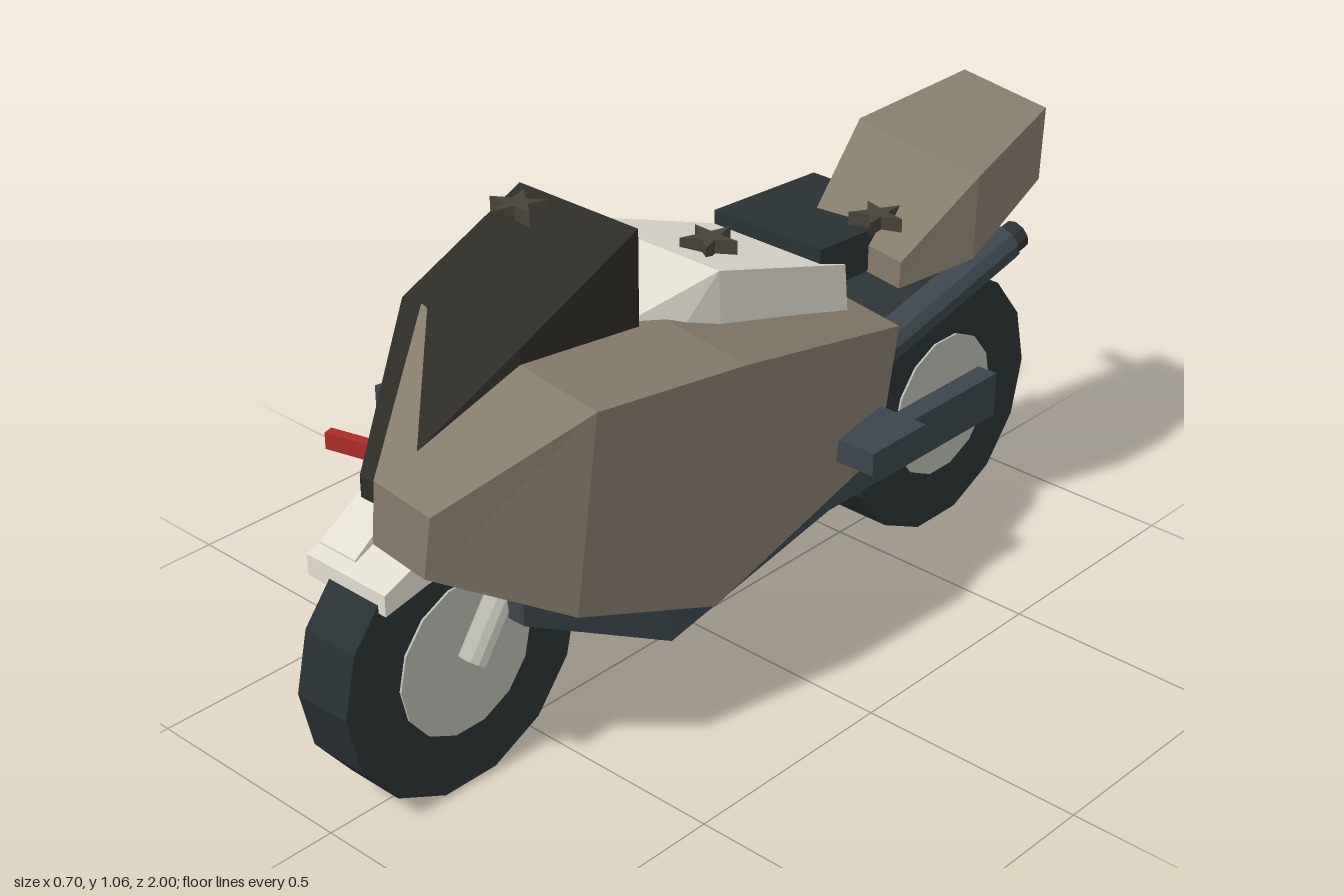
import * as THREE from 'three';

const mat = (color) => new THREE.MeshStandardMaterial({ color, flatShading: true });
const M = {
  tan: mat(0x857b6b), cream: mat(0xe0dccf), slate: mat(0x3b454b), dark: mat(0x2a3233),
  rim: mat(0xb8b8b0), glass: mat(0x2d2c27), red: mat(0xab2c24), star: mat(0x47433a),
};
const CX = -0.015; // middle plane of the frame parts

function add(parent, name, geometry, material, x = 0, y = 0, z = 0) {
  const mesh = new THREE.Mesh(geometry, material);
  mesh.name = name;
  mesh.position.set(x, y, z);
  parent.add(mesh);
  return mesh;
}

// Box reshaped along z by sections [z, centreX, bottomHalf, topHalf, bottomY, topY], front to back
function shell(parent, name, material, sections) {
  const n = sections.length - 1;
  const geo = new THREE.BoxGeometry(1, 1, 1, 1, 1, n).toNonIndexed();
  const p = geo.attributes.position;
  for (let i = 0; i < p.count; i++) {
    const [z, cx, hb, ht, yb, yt] = sections[Math.round((0.5 - p.getZ(i)) * n)];
    const top = p.getY(i) > 0;
    p.setXYZ(i, cx + Math.sign(p.getX(i)) * (top ? ht : hb), top ? yt : yb, z);
  }
  geo.computeVertexNormals();
  return add(parent, name, geo, material);
}

// Cylinder between two points
function rod(parent, name, material, a, b, r, sides = 10) {
  const A = new THREE.Vector3(...a), B = new THREE.Vector3(...b);
  const dir = B.clone().sub(A);
  const mesh = add(parent, name, new THREE.CylinderGeometry(r, r, dir.length(), sides), material);
  mesh.position.copy(A.add(B).multiplyScalar(0.5));
  mesh.quaternion.setFromUnitVectors(new THREE.Vector3(0, 1, 0), dir.normalize());
  return mesh;
}

const box = (parent, name, material, w, h, d, x, y, z) =>
  add(parent, name, new THREE.BoxGeometry(w, h, d), material, x, y, z);

// Tyre as a broad faceted drum with a narrower hub disc standing proud on both sides
function wheel(parent, name, z, [t0, t1], [h0, h1]) {
  const g = new THREE.Group();
  g.name = name;
  g.position.set(0, 0.298, z);
  const drum = (part, r, x0, x1, material) => {
    const geo = new THREE.CylinderGeometry(r, r, x1 - x0, 14).rotateZ(Math.PI / 2);
    add(g, part, geo, material, (x0 + x1) / 2);
  };
  drum('tyre', 0.298, t0, t1, M.dark);
  drum('hub', 0.167, h0, h1, M.rim);
  parent.add(g);
}

// Small five-pointed stud lying flat
function stud(parent, x, y, z, turn) {
  const s = new THREE.Shape();
  for (let i = 0; i < 10; i++) {
    const r = i % 2 ? 0.022 : 0.06, a = turn + (i * Math.PI) / 5;
    s[i ? 'lineTo' : 'moveTo'](r * Math.cos(a), r * Math.sin(a));
  }
  const geo = new THREE.ExtrudeGeometry(s, { depth: 0.03, bevelEnabled: false });
  add(parent, 'starStud', geo.rotateX(-Math.PI / 2), M.star, x, y - 0.015, z);
}

export function createModel() {
  const bike = new THREE.Group();
  bike.name = 'motorcycle';

  // Wheels
  wheel(bike, 'frontWheel', 0.705, [-0.062, 0.073], [-0.107, 0.078]);
  wheel(bike, 'rearWheel', -0.702, [-0.085, 0.115], [-0.153, 0.12]);

  // Dark lower body
  shell(bike, 'lowerBody', M.slate, [
    [0.65, CX, 0.195, 0.195, 0.385, 0.755],
    [0.3, CX, 0.245, 0.245, 0.205, 0.69],
    [-0.45, CX, 0.16, 0.16, 0.25, 0.49],
  ]);

  // Upper fairing, leaning to one side
  const fairing = shell(bike, 'upperFairing', M.tan, [
    [0.845, 0, 0.07, 0.075, -0.035, 0.105],
    [0.6, 0, 0.23, 0.23, -0.15, 0.31],
    [0.22, 0, 0.25, 0.25, -0.302, 0.265],
    [-0.4, 0, 0.15, 0.15, -0.26, 0.06],
  ]);
  fairing.position.set(0.065, 0.6, 0);
  fairing.rotation.z = -0.13;

  // Tail, with the same lean
  const tail = shell(bike, 'tail', M.tan, [
    [-0.41, 0, 0.125, 0.12, -0.12, -0.06],
    [-0.58, 0, 0.18, 0.16, -0.085, 0.1],
    [-0.865, 0, 0.125, 0.11, -0.015, 0.15],
  ]);
  tail.position.set(0.1, 0.853, 0);
  tail.rotation.z = -0.13;
  box(bike, 'tailLight', M.red, 0.15, 0.035, 0.02, -0.015, 0.905, -0.868);

  // Tank, seat and windscreen
  shell(bike, 'tank', M.cream, [
    [0.4, CX, 0.15, 0.1, 0.62, 0.84],
    [0.1, CX, 0.195, 0.185, 0.66, 0.925],
    [-0.33, CX, 0.155, 0.145, 0.66, 0.775],
  ]);
  shell(bike, 'seat', M.dark, [
    [-0.255, -0.02, 0.145, 0.145, 0.735, 0.832],
    [-0.575, -0.02, 0.145, 0.145, 0.73, 0.815],
  ]);
  shell(bike, 'windscreen', M.glass, [
    [0.84, -0.01, 0.03, 0.03, 0.66, 0.705],
    [0.6, -0.018, 0.157, 0.157, 0.78, 0.935],
    [0.29, -0.018, 0.157, 0.157, 0.84, 1.068],
  ]);

  // Front mudguard, stepped to one side
  shell(bike, 'mudguard', M.cream, [
    [0.91, CX, 0.108, 0.108, 0.49, 0.535],
    [0.8, CX, 0.105, 0.105, 0.51, 0.575],
    [0.5, CX, 0.105, 0.105, 0.51, 0.575],
  ]);
  shell(bike, 'mudguardRidge', M.cream, [
    [0.88, -0.07, 0.055, 0.05, 0.5, 0.55],
    [0.72, -0.08, 0.08, 0.045, 0.55, 0.645],
    [0.5, -0.08, 0.08, 0.045, 0.55, 0.645],
  ]);

  // Paired parts
  for (const s of [-1, 1]) {
    rod(bike, 'fork', M.rim, [CX + s * 0.122, 0.305, 0.715], [CX + s * 0.122, 0.62, 0.5], 0.032, 12);
    box(bike, 'footPeg', M.slate, 0.15, 0.054, 0.17, CX + s * 0.26, 0.427, -0.29);
    rod(bike, 'exhaust', M.slate, [CX + s * 0.155, 0.51, -0.3], [CX + s * 0.205, 0.685, -0.8], 0.043);
    rod(bike, 'exhaustTip', M.dark, [CX + s * 0.205, 0.68, -0.79], [CX + s * 0.209, 0.692, -0.836], 0.034);
  }

  // Swingarm on the hub side
  box(bike, 'swingarm', M.slate, 0.05, 0.105, 0.68, 0.15, 0.298, -0.48);

  // Handlebar, indicator and side trim
  rod(bike, 'handlebar', M.slate, [-0.31, 0.79, 0.355], [-0.14, 0.825, 0.41], 0.021, 8);
  box(bike, 'indicator', M.red, 0.148, 0.035, 0.022, -0.128, 0.697, 0.76).rotation.y = 0.25;
  box(bike, 'sideVent', M.slate, 0.03, 0.095, 0.225, -0.268, 0.51, 0.245);
  const stripe = shell(bike, 'sideStripe', M.red, [
    [0.48, -0.247, 0.006, 0.006, 0.69, 0.8],
    [0.3, -0.268, 0.006, 0.006, 0.63, 0.72],
    [-0.2, -0.238, 0.03, 0.03, 0.51, 0.575],
  ]);
  stripe.material = M.red;

  // Star studs
  stud(bike, -0.11, 1.055, 0.36, 0.9);
  stud(bike, 0.045, 0.908, -0.01, 0.3);
  stud(bike, 0.13, 0.845, -0.43, 0.1);

  return bike;
}
